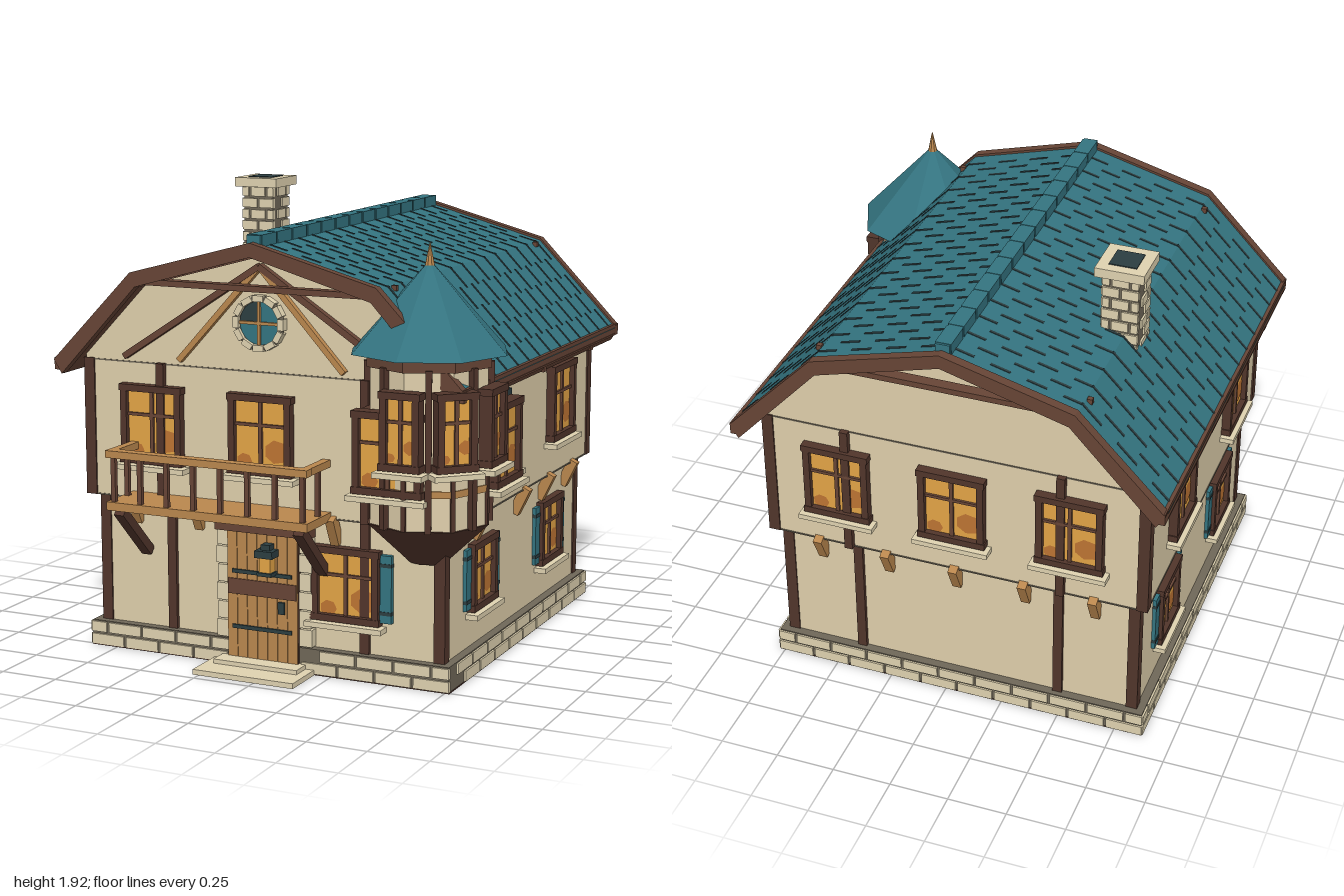
import * as THREE from 'three';
import { mergeGeometries } from 'three/addons/utils/BufferGeometryUtils.js';

const mat = (name, color) => {
  const m = new THREE.MeshStandardMaterial({ color });
  m.name = name;
  return m;
};
const M = {
  plaster: mat('plaster', 0xdfcfab), stone: mat('stone', 0xdfd2b0), mortar: mat('mortar', 0x6f6758),
  teal: mat('teal roof', 0x347480), dark: mat('dark slate', 0x2c3e41), timber: mat('dark timber', 0x51352b),
  brown: mat('brown timber', 0x674536), wood: mat('light wood', 0xba874e), glow: mat('amber glass', 0xe3a446),
  ember: mat('deep amber', 0xbd7433),
};

export function createModel() {
  const model = new THREE.Group();
  const house = new THREE.Group();
  house.name = 'house';
  house.position.set(-0.05, 0, -0.06);
  model.add(house);

  const add = (parent, name, geo, m, x = 0, y = 0, z = 0) => {
    const o = new THREE.Mesh(geo, m);
    o.name = name;
    o.position.set(x, y, z);
    parent.add(o);
    return o;
  };
  const box = (parent, name, m, w, h, d, x, y, z) =>
    add(parent, name, new THREE.BoxGeometry(w, h, d), m, x, y, z);
  const group = (parent, name, x = 0, y = 0, z = 0, ry = 0) => {
    const g = new THREE.Group();
    g.name = name;
    g.position.set(x, y, z);
    g.rotation.y = ry;
    parent.add(g);
    return g;
  };
  // Straight timber between two points in a plane facing +z
  const beam = (parent, name, m, x1, y1, x2, y2, t, d, z) => {
    const o = box(parent, name, m, Math.hypot(x2 - x1, y2 - y1), t, d, (x1 + x2) / 2, (y1 + y2) / 2, z);
    o.rotation.z = Math.atan2(y2 - y1, x2 - x1);
  };
  const extrude = (pts, depth) => new THREE.ExtrudeGeometry(
    new THREE.Shape(pts.map(p => new THREE.Vector2(...p))), { depth, bevelEnabled: false });
  const facet = geo => {
    const g = geo.toNonIndexed();
    g.computeVertexNormals();
    return g;
  };

  // Staggered blocks on the four sides of a square core; bare(side, x, row) leaves the core showing
  const masonry = (parent, name, half, y0, rows, rowH, blockW, bare) => {
    const g = group(parent, name);
    box(g, name + 'Core', M.mortar, half * 2 - 0.016, rows * rowH, half * 2 - 0.016, 0, y0 + rows * rowH / 2, 0);
    for (let s = 0; s < 4; s++) {
      const side = group(g, name + 'Side', 0, 0, 0, s * Math.PI / 2);
      for (let r = 0; r < rows; r++)
        for (let x = -half - (r % 2) * blockW / 2; x < half - 0.01; x += blockW) {
          const a = Math.max(x, -half), b = Math.min(x + blockW, half);
          if (bare(s, (a + b) / 2, r)) continue;
          box(side, 'block', M.stone, b - a - 0.011, rowH - 0.01, 0.02,
            (a + b) / 2, y0 + (r + 0.5) * rowH, half - 0.01);
        }
    }
  };

  // Framed window facing +z, with optional shutters on the given sides
  const windowUnit = (parent, x, y, z, w, h, shutters = []) => {
    const g = group(parent, 'window', x, y, z), t = 0.028;
    box(g, 'pane', M.glow, w - t, h - t, 0.02, 0, 0, 0);
    for (const [px, py, r] of [[0.25, -0.2, 0.17], [-0.27, -0.34, 0.11]]) {
      const c = add(g, 'curtainGlow', new THREE.CircleGeometry(r * w * 1.15, 7), M.ember, px * w, py * h, 0.0115);
      c.scale.y = 0.9;
    }
    for (const s of [-1, 1]) {
      box(g, 'frameSide', M.timber, t, h, 0.055, s * (w - t) / 2, 0, 0.005);
      box(g, 'frameRail', M.timber, w + 0.01, t, 0.06, 0, s * (h - t) / 2, 0.005);
    }
    box(g, 'mullion', M.brown, 0.016, h - t, 0.03, 0, 0, 0.005);
    box(g, 'glazingBar', M.brown, w - t, 0.013, 0.03, 0, h * 0.12, 0.005);
    box(g, 'sill', M.stone, w + 0.045, 0.022, 0.08, 0, -h / 2 - 0.016, 0.015);
    for (const s of shutters) {
      const sx = s * (w / 2 + 0.028);
      box(g, 'shutter', M.teal, 0.05, h - 0.03, 0.025, sx, 0, 0.005);
      for (const k of [-1, 1]) box(g, 'shutterStrap', M.dark, 0.052, 0.015, 0.03, sx, k * h * 0.32, 0.005);
    }
  };

  // Foundation and walls
  masonry(house, 'foundation', 0.825, 0, 2, 0.054, 0.165,
    (s, x, r) => (s === 1 && x < -0.73) || (s === 0 && r === 1 && x > 0.1 && x < 0.25));
  box(house, 'underside', M.timber, 1.64, 0.004, 1.64, 0, 0.002, 0);
  box(house, 'lowerWalls', M.plaster, 1.56, 0.58, 1.56, 0, 0.38, 0);
  add(house, 'upperWalls', extrude([[-0.82, 0.66], [0.82, 0.66], [0.82, 1.28], [0.53, 1.57], [0, 1.72],
    [-0.53, 1.57], [-0.82, 1.28]], 1.64), M.plaster, 0, 0, -0.82);
  for (const sx of [-1, 1]) for (const sz of [-1, 1]) {
    box(house, 'lowerCornerPost', M.timber, 0.048, 0.56, 0.048, sx * 0.762, 0.385, sz * 0.762);
    box(house, 'upperCornerPost', M.timber, 0.048, 0.58, 0.048, sx * 0.803, 0.95, sz * 0.803);
  }

  const [front, right, back, left] = ['front', 'right', 'back', 'left'].map((n, i) =>
    group(house, n + 'Side', 0, 0, 0, i * Math.PI / 2));

  // Windows, posts, plate lines and corbels on each side
  for (const [f, xs] of [[front, [-0.5, 0]], [back, [-0.5, 0, 0.5]]]) {
    for (const x of xs) windowUnit(f, x, 0.982, 0.825, 0.28, 0.33);
    for (const s of [-1, 1]) {
      box(f, 'lowerPost', M.timber, 0.04, 0.55, 0.03, s * 0.44, 0.385, 0.782);
      box(f, 'upperPost', M.timber, 0.035, 0.58, 0.03, s * 0.46, 0.95, 0.83);
    }
    box(f, 'gableLine', M.mortar, 1.6, 0.006, 0.006, 0, 1.235, 0.82);
  }
  windowUnit(front, 0.36, 0.39, 0.785, 0.295, 0.31, [1]);
  for (const f of [right, left]) {
    for (const x of [-0.4, 0.4]) windowUnit(f, x, 0.4, 0.778, 0.26, 0.285, [-1, 1]);
    windowUnit(f, 0.4, 0.982, 0.825, 0.28, 0.33);
  }
  windowUnit(left, -0.4, 0.982, 0.825, 0.28, 0.33);

  // Projecting windows beside the turret
  windowUnit(front, 0.615, 0.982, 0.95, 0.29, 0.33);
  box(front, 'windowCasing', M.timber, 0.28, 0.32, 0.13, 0.615, 0.982, 0.878);
  windowUnit(right, -0.545, 0.982, 0.93, 0.27, 0.33);
  box(right, 'windowCasing', M.timber, 0.26, 0.32, 0.11, -0.545, 0.982, 0.868);
  box(right, 'darkPanel', M.dark, 0.165, 0.325, 0.04, -0.335, 0.982, 0.835);
  box(right, 'longSill', M.stone, 0.43, 0.022, 0.1, -0.455, 0.801, 0.865);

  const corbelSpots = [[front, [-0.6, -0.31, 0.01, 0.31]], [back, [-0.6, -0.3, 0, 0.3, 0.6]],
    [right, [-0.465, 0, 0.3, 0.6]]];
  for (const [f, xs] of corbelSpots) for (const x of xs)
    box(f, 'corbel', M.wood, 0.038, 0.125, 0.045, x, 0.613, 0.805).rotation.x = 0.45;
  for (const f of [front, right, back, left])
    box(f, 'floorLine', M.mortar, 1.62, 0.006, 0.006, 0, 0.662, 0.82);

  // Gambrel roof as a folded band, lined with a timber soffit
  const band = (lift, t) => {
    const outer = [[-0.913, 1.23], [-0.545, 1.61], [0, 1.757], [0.545, 1.61], [0.913, 1.23]]
      .map(([x, y]) => [x, y + lift]);
    const inner = outer.map(([x, y]) => [x * (1 - t * 0.7), y - t]).reverse();
    return [...outer, ...inner].reverse();
  };
  add(house, 'roof', extrude(band(0, 0.03), 1.785), M.teal, 0, 0, -0.9);
  add(house, 'soffit', extrude(band(-0.025, 0.03), 1.785), M.brown, 0, 0, -0.9);
  for (const z of [-0.942, 0.883]) add(house, 'bargeBoard', extrude(band(0.01, 0.058), 0.042), M.brown, 0, 0, z);
  box(house, 'ridgeCap', M.teal, 0.06, 0.05, 1.79, 0, 1.768, -0.007);
  for (let i = 0; i < 13; i++) box(house, 'ridgeTile', M.teal, 0.066, 0.058, 0.125, 0, 1.766, -0.83 + i * 0.137);
  const dashes = [];
  for (const s of [-1, 1])
    for (const [x0, y0, x1, y1, n] of [[0.03, 1.749, 0.545, 1.61, 7], [0.545, 1.61, 0.905, 1.238, 5]])
      for (let k = 0; k < n; k++) for (let i = 0; i < 27; i++) {
        if ((i + k) % 2) continue;
        const u = (k + 0.5) / n, len = Math.hypot(x1 - x0, y1 - y0) / n * 1.1;
        const g = new THREE.BoxGeometry(len, 0.005, 0.012);
        g.rotateZ(s * Math.atan2(y1 - y0, x1 - x0));
        g.translate(s * (x0 + (x1 - x0) * u), y0 + (y1 - y0) * u, -0.845 + i * 0.0635);
        dashes.push(g);
      }
  add(house, 'shingleJoints', mergeGeometries(dashes), M.dark);
  for (const s of [-1, 1]) {
    box(house, 'eaveFascia', M.brown, 0.03, 0.05, 1.86, s * 0.897, 1.222, -0.01);
    for (const z of [-0.6, 0, 0.6])
      box(house, 'rafterTail', s > 0 ? M.brown : M.wood, 0.09, 0.035, 0.03, s * 0.86, 1.19, z);
    for (const z of [-0.8, 0.775]) box(house, 'roofPeg', M.brown, 0.022, 0.022, 0.022, s * 0.56, 1.603, z);
  }

  // Gable timbers and round window
  for (const f of [front, back]) box(f, 'collarBeam', M.brown, 1.08, 0.024, 0.05, 0, 1.58, 0.87);
  for (const s of [-1, 1]) {
    beam(front, 'gableBrace', M.brown, s * 0.625, 1.26, 0, 1.665, 0.026, 0.03, 0.835);
    beam(front, 'gableStrut', M.wood, s * 0.37, 1.26, 0, 1.665, 0.024, 0.03, 0.832);
  }
  const oculus = group(front, 'roundWindow', 0, 1.437, 0.84);
  add(oculus, 'ringMortar', new THREE.TorusGeometry(0.1, 0.012, 6, 24), M.mortar);
  for (let i = 0; i < 12; i++) {
    const a = i * Math.PI / 6;
    box(oculus, 'ringStone', M.stone, 0.025, 0.046, 0.035, 0.1 * Math.cos(a), 0.1 * Math.sin(a), 0).rotation.z = a;
  }
  for (let i = 0; i < 4; i++)
    add(oculus, 'glass', new THREE.CircleGeometry(0.095, 6, i * Math.PI / 2, Math.PI / 2), i === 1 ? M.dark : M.teal);
  box(oculus, 'verticalBar', M.wood, 0.012, 0.18, 0.012, 0, 0, 0.004);
  box(oculus, 'horizontalBar', M.wood, 0.18, 0.012, 0.012, 0, 0, 0.004);

  // Door with stone jambs, straps, lantern and steps
  const door = group(front, 'door', 0, 0, 0.795);
  box(door, 'doorCore', M.timber, 0.32, 0.54, 0.07, 0, 0.305, 0);
  for (let i = 0; i < 7; i++) box(door, 'plank', M.wood, 0.0435, 0.54, 0.02, (i - 3) * 0.0457, 0.305, 0.03);
  box(door, 'doorBand', M.brown, 0.31, 0.065, 0.01, 0, 0.34, 0.04);
  for (const y of [0.17, 0.405]) box(door, 'strap', M.dark, 0.27, 0.016, 0.012, 0, y, 0.042);
  box(door, 'lockPlate', M.dark, 0.028, 0.05, 0.015, 0.09, 0.27, 0.044);
  for (const s of [-1, 1]) for (let i = 0; i < 6; i++)
    box(door, 'jambStone', M.stone, i % 2 ? 0.05 : 0.06, 0.072, 0.07, s * 0.187, 0.15 + i * 0.078, -0.01);
  box(door, 'lintel', M.brown, 0.43, 0.04, 0.09, 0, 0.59, 0);
  box(door, 'lanternGlow', M.glow, 0.05, 0.07, 0.05, 0.035, 0.455, 0.06);
  for (const [w, h, y] of [[0.065, 0.015, 0.415], [0.08, 0.03, 0.5], [0.04, 0.025, 0.525]])
    box(door, 'lanternCasing', M.dark, w, h, w, 0.035, y, 0.06);
  box(house, 'lowerStep', M.stone, 0.455, 0.022, 0.22, 0, 0.011, 0.91);
  box(house, 'upperStep', M.stone, 0.38, 0.04, 0.1, 0, 0.02, 0.86);

  // Balcony
  const balcony = group(front, 'balcony', -0.151, 0, 0);
  box(balcony, 'deck', M.wood, 0.91, 0.035, 0.22, 0, 0.672, 0.93);
  box(balcony, 'frontRail', M.wood, 0.91, 0.03, 0.045, 0, 0.889, 1.02);
  for (let i = 0; i < 8; i++)
    box(balcony, 'baluster', M.brown, 0.02, 0.19, 0.02, -0.427 + i * 0.122, 0.78, 1.02);
  for (const s of [-1, 1]) {
    box(balcony, 'sideRail', M.wood, 0.035, 0.03, 0.21, s * 0.435, 0.889, 0.925);
    box(balcony, 'sideBaluster', M.brown, 0.02, 0.19, 0.02, s * 0.435, 0.78, 0.9);
    const b = box(balcony, 'deckBrace', M.timber, 0.045, 0.31, 0.04, s * 0.407, 0.54, 0.9);
    b.rotation.x = 0.8;
  }

  // Corner turret
  const turret = group(model, 'turret', 0.638, 0, 0.67);
  for (const [name, m, rTop, rBottom, h, y] of [
    ['turretWall', M.plaster, 0.248, 0.248, 0.66, 1.01], ['turretCorbel', M.timber, 0.258, 0.075, 0.175, 0.598],
    ['turretPlate', M.brown, 0.262, 0.262, 0.05, 1.335], ['turretBelt', M.wood, 0.254, 0.254, 0.028, 0.832],
    ['turretRoof', M.teal, 0.015, 0.326, 0.34, 1.53], ['finial', M.wood, 0.002, 0.027, 0.12, 1.722]])
    add(turret, name, facet(new THREE.CylinderGeometry(rTop, rBottom, h, 8)), m, 0, y, 0);
  for (let i = 0; i < 8; i++) {
    const a = (i + 0.5) * Math.PI / 4;
    box(turret, 'turretPost', M.timber, 0.026, 0.64, 0.026, 0.243 * Math.sin(a), 1.0, 0.243 * Math.cos(a)).rotation.y = a;
  }
  for (const a of [0, 1, 2]) {
    const face = group(turret, 'turretFace', 0, 0, 0, a * Math.PI / 4);
    windowUnit(face, 0, 1.085, 0.266, 0.165, 0.31);
    box(face, 'sillPost', M.timber, 0.018, 0.22, 0.02, 0, 0.795, 0.245);
  }

  // Chimney
  const chimney = group(model, 'chimney', -0.575, 0, -0.315);
  masonry(chimney, 'stack', 0.08, 1.475, 8, 0.05, 0.08, (s, x) => s % 2 === 1 && x < -0.01);
  box(chimney, 'chimneyCap', M.stone, 0.204, 0.04, 0.204, 0, 1.893, 0);
  box(chimney, 'flue', M.dark, 0.115, 0.006, 0.115, 0, 1.914, 0);
  return model;
}
